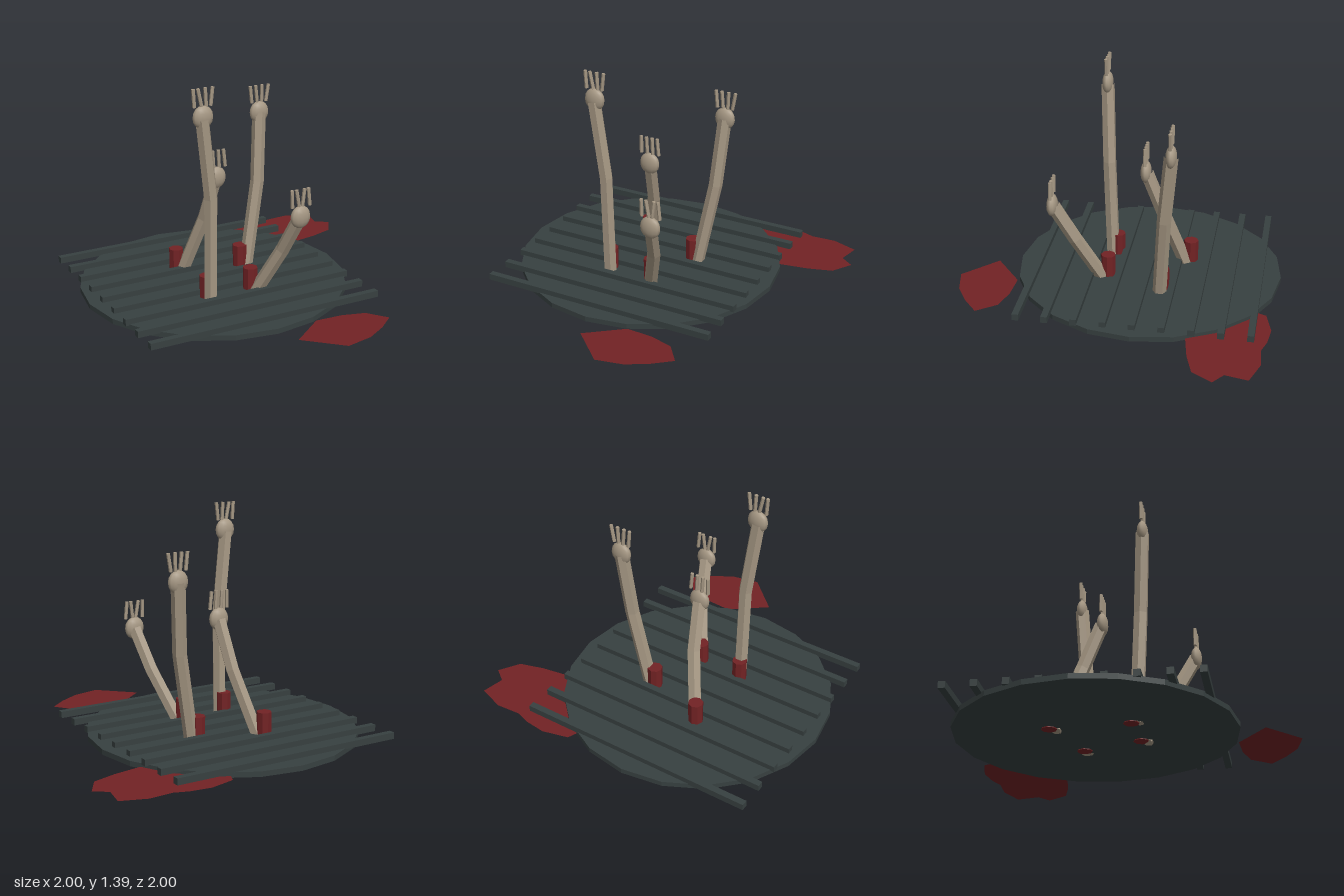
import * as THREE from 'three';

const mat = (name, color, extra = {}) => {
  const m = new THREE.MeshStandardMaterial({ color, ...extra });
  m.name = name;
  return m;
};

export function createModel() {
  const iron = mat('dark iron', 0x374040, { flatShading: true });
  const bone = mat('bone', 0xa59783, { flatShading: true });
  const skin = mat('smooth bone', 0xa59783);
  const red = mat('dark red', 0x722224, { side: THREE.DoubleSide, flatShading: true });

  const model = new THREE.Group();
  const add = (parent, name, geometry, material, x = 0, y = 0, z = 0) => {
    const mesh = new THREE.Mesh(geometry, material);
    mesh.name = name;
    mesh.position.set(x, y, z);
    parent.add(mesh);
    return mesh;
  };

  // Round plate with a row of bars across it
  add(model, 'plate', new THREE.CylinderGeometry(0.83, 0.83, 0.032, 20), iron, -0.17, 0.046, -0.17);
  for (let i = 0; i < 9; i++) {
    add(model, 'grateBar', new THREE.BoxGeometry(1.51, 0.04, 0.04), iron, -0.17, 0.075, -0.87 + i * 0.175);
  }

  // Arms: three path points, hand centre, red stub position, finger leans
  const arms = [
    { path: [[-0.32, 0.03, 0.09], [-0.325, 0.71, 0.115], [-0.385, 1.21, 0.135]],
      hand: [-0.38, 1.22, 0.135], stub: [-0.33, 0.06], lean: [0.06, 0.2, 0.05, -0.12] },
    { path: [[-0.03, 0.03, 0.1], [0.08, 0.36, 0.26], [0.125, 0.6, 0.385]],
      hand: [0.125, 0.605, 0.39], stub: [-0.04, 0.075], lean: [0.03, 0.18, -0.12, 0.1] },
    { path: [[-0.29, 0.03, -0.39], [-0.19, 0.44, -0.25], [-0.16, 0.73, -0.145]],
      hand: [-0.16, 0.735, -0.14], stub: [-0.31, -0.415], lean: [0.0, 0.06, 0.05, 0.1] },
    { path: [[0.11, 0.03, -0.27], [0.215, 0.6, -0.305], [0.25, 1.04, -0.345]],
      hand: [0.25, 1.04, -0.345], stub: [0.075, -0.28], lean: [0.1, 0.1, -0.03, -0.17] },
  ];

  for (const { path, hand, stub, lean } of arms) {
    const arm = new THREE.Group();
    arm.name = 'arm';
    model.add(arm);

    // Six-sided limb with its one bend exactly at the middle point
    const curve = new THREE.CatmullRomCurve3(path.map(p => new THREE.Vector3(...p)));
    curve.getPointAt = (t, v) => curve.getPoint(t, v);
    curve.getTangentAt = (t, v) => curve.getTangent(t, v);
    const tube = new THREE.TubeGeometry(curve, 2, 0.043, 6);
    add(arm, 'limb', tube, bone);

    // Cap on the lower end, taken from the first ring of the limb
    const ring = tube.attributes.position;
    const cap = [];
    const corner = i => [ring.getX(i), ring.getY(i), ring.getZ(i)];
    for (let i = 0; i < 6; i++) cap.push(...path[0], ...corner(i), ...corner(i + 1));
    const capGeometry = new THREE.BufferGeometry();
    capGeometry.setAttribute('position', new THREE.Float32BufferAttribute(cap, 3));
    capGeometry.computeVertexNormals();
    if (capGeometry.attributes.normal.getY(0) > 0) {
      capGeometry.setIndex([...Array(18).keys()].reverse());
      capGeometry.computeVertexNormals();
    }
    add(arm, 'limbEnd', capGeometry, bone);

    // Flattened palm and four straight fingers
    add(arm, 'palm', new THREE.SphereGeometry(1, 12, 8).scale(0.066, 0.07, 0.034), skin, ...hand);
    lean.forEach((angle, i) => {
      const x = hand[0] + (i - 1.5) * 0.038;
      const finger = new THREE.CylinderGeometry(0.011, 0.011, 0.11, 6);
      add(arm, 'finger', finger, bone, x, hand[1] + 0.118, hand[2]).rotation.z = angle;
    });

    // Red stub at the root
    add(arm, 'rootStub', new THREE.CylinderGeometry(0.046, 0.046, 0.175, 8), red, stub[0], 0.1125, stub[1]);
  }

  // Flat red puddles, outlined in x and z
  const puddle = (outline) => {
    const shape = new THREE.Shape(outline.map(([x, z]) => new THREE.Vector2(x, -z)));
    add(model, 'puddle', new THREE.ShapeGeometry(shape).rotateX(-Math.PI / 2), red, 0, 0.04, 0);
  };
  puddle([[-0.12, 0.8], [0.1, 0.63], [0.27, 0.64], [0.41, 0.68], [0.5, 0.8], [0.39, 0.89], [0.26, 0.965], [0.09, 1]]);
  puddle([[0.23, -0.87], [0.26, -0.94], [0.42, -0.98], [0.55, -0.965], [0.64, -0.935], [0.79, -0.945],
    [0.95, -0.89], [0.92, -0.75], [1, -0.69], [0.92, -0.565], [0.77, -0.52], [0.59, -0.49], [0.42, -0.58], [0.3, -0.72]]);

  return model;
}
